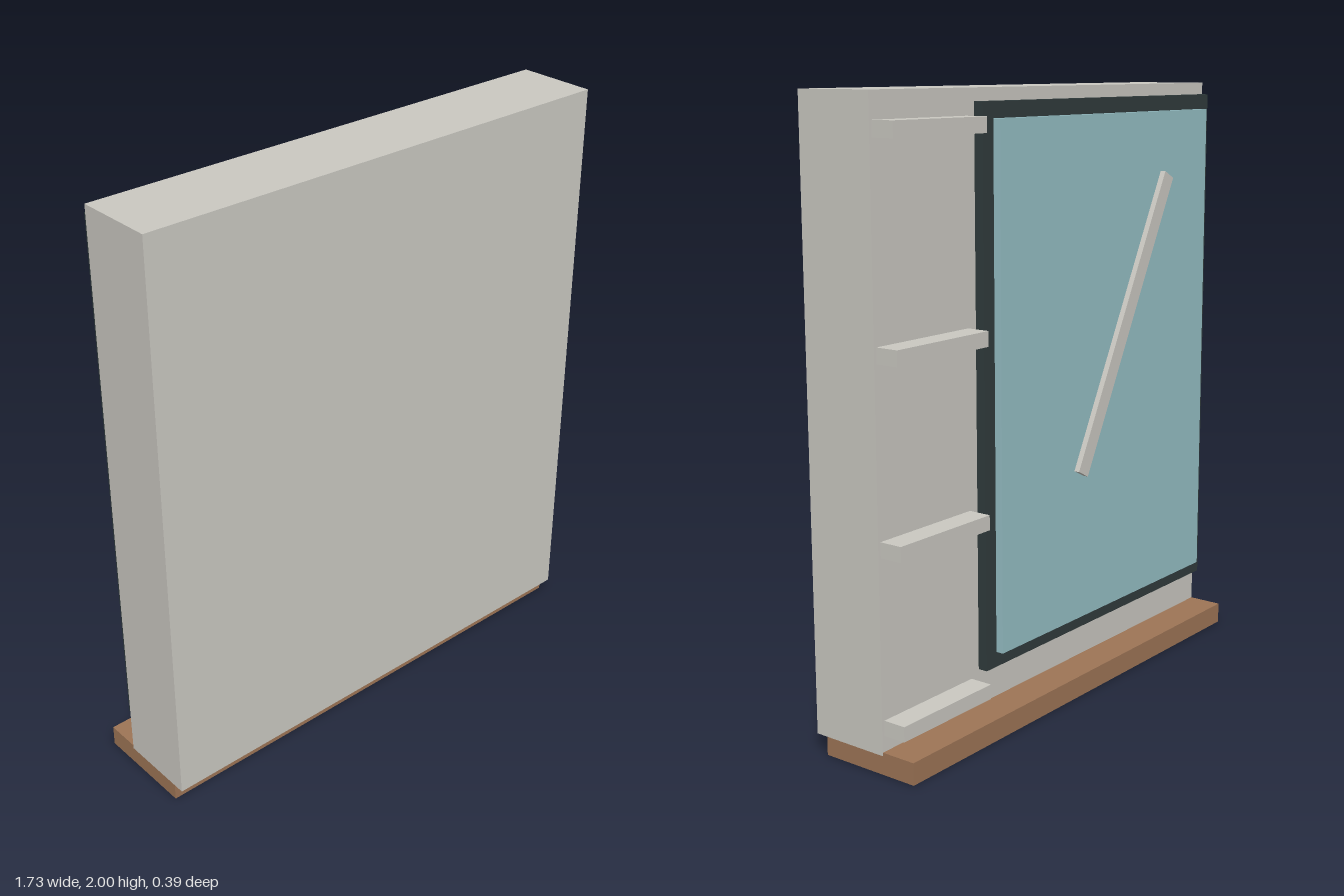
import * as THREE from 'three';

const mat = (name, color) => {
  const m = new THREE.MeshStandardMaterial({ color });
  m.name = name;
  return m;
};

export function createModel() {
  const model = new THREE.Group();
  model.name = 'windowWall';
  const plaster = mat('plaster', 0xcac8c1);
  const wood = mat('wood', 0x9d7556);
  const dark = mat('dark frame', 0x303b3c);
  const glass = mat('glass', 0x95bec4);

  // Box given by its low and high corner
  const box = (name, material, [x0, y0, z0], [x1, y1, z1]) => {
    const mesh = new THREE.Mesh(new THREE.BoxGeometry(x1 - x0, y1 - y0, z1 - z0), material);
    mesh.position.set((x0 + x1) / 2, (y0 + y1) / 2, (z0 + z1) / 2);
    mesh.name = name;
    model.add(mesh);
    return mesh;
  };

  // Wall slab and wooden plinth
  box('wall', plaster, [-0.867, 0.06, -0.075], [0.867, 2, 0.195]);
  box('plinth', wood, [-0.866, 0, -0.195], [0.866, 0.071, 0.155]);

  // Framed pane on the back
  box('frame', dark, [-0.85, 0.19, -0.108], [0.416, 1.96, -0.075]);
  box('pane', glass, [-0.802, 0.24, -0.134], [0.367, 1.91, -0.108]);

  // Slanted bar across the pane
  const bar = box('slantedBar', plaster, [-0.028, -0.537, -0.153], [0.028, 0.537, -0.134]);
  bar.position.x = -0.288;
  bar.position.y = 1.22;
  bar.rotation.z = 0.479;

  // Shelves beside the pane
  for (const y of [0.145, 0.695, 1.265, 1.895]) {
    box('shelf', plaster, [0.452, y - 0.024, -0.153], [0.857, y + 0.024, -0.075]);
  }
  return model;
}
